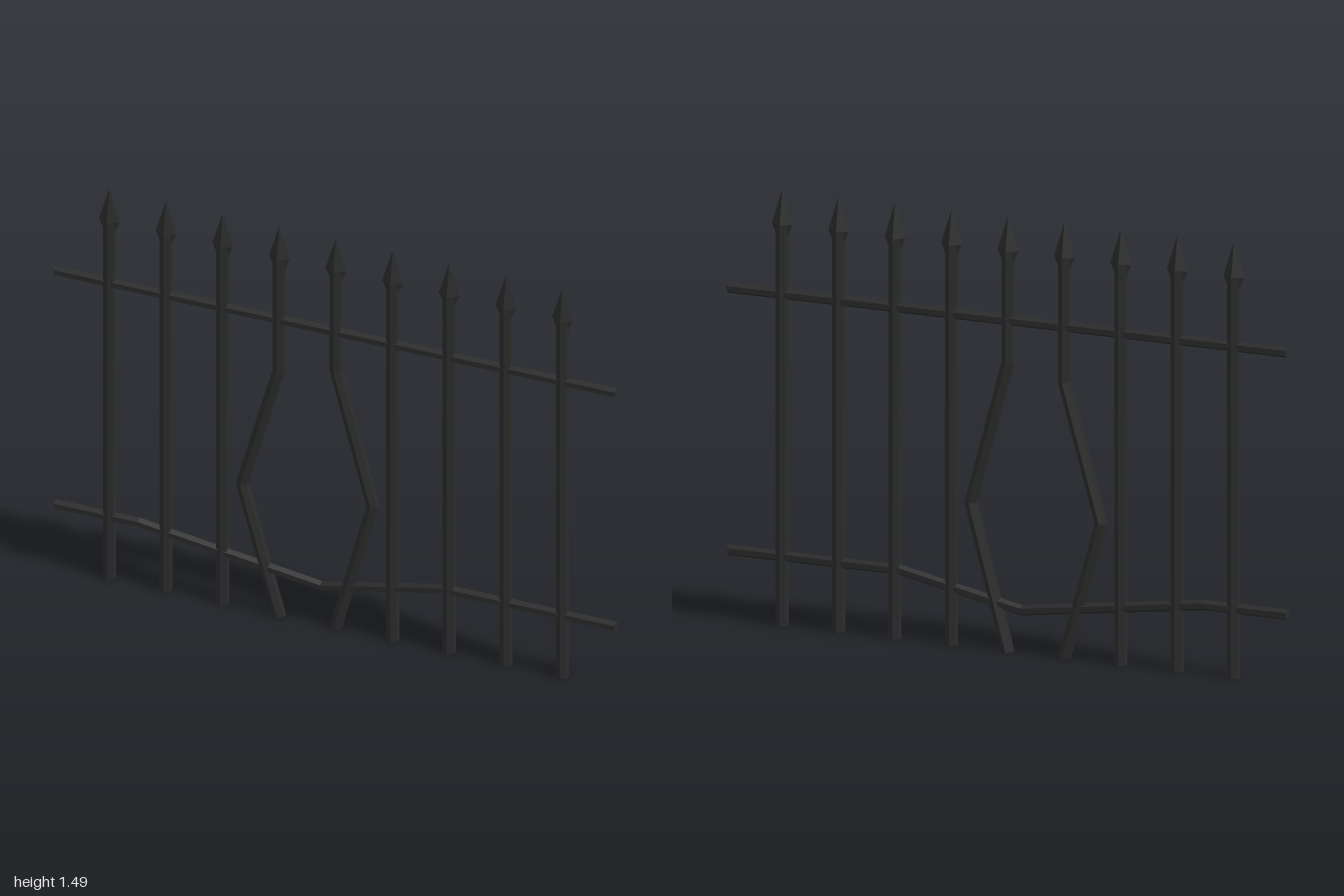
import * as THREE from 'three';

export function createModel() {
  const fence = new THREE.Group();
  fence.name = 'fence';
  const iron = new THREE.MeshStandardMaterial({ color: 0x2b2b2b, flatShading: true });
  iron.name = 'blackIron';

  function add(name, geometry) {
    const flat = geometry.toNonIndexed();
    flat.computeVertexNormals();
    const mesh = new THREE.Mesh(flat, iron);
    mesh.name = name;
    fence.add(mesh);
    return mesh;
  }

  // Hexagonal rod through [x, y] points; rows of a cylinder are moved onto the path.
  // Upright rods run bottom to top, rails run left to right.
  function rod(name, points, radius, isRail) {
    const rows = points.length - 1;
    const geo = new THREE.CylinderGeometry(radius, radius, rows, 6, rows);
    const pos = geo.attributes.position;
    for (let i = 0; i < pos.count; i++) {
      const [px, py] = points[Math.round(pos.getY(i) + rows / 2)];
      const a = pos.getX(i), b = pos.getZ(i);
      if (isRail) pos.setXYZ(i, px, py + b, a);
      else pos.setXYZ(i, px + a, py, b);
    }
    return add(name, geo);
  }

  // Flattened four-sided spear point
  function spear(x) {
    const parts = [
      ['spearPoint', new THREE.CylinderGeometry(0, 0.037, 0.12, 4), 1.425],
      ['spearNeck', new THREE.CylinderGeometry(0.037, 0.019, 0.04, 4), 1.345],
    ];
    for (const [name, geo, y] of parts) {
      geo.scale(1, 1, 0.6);
      geo.translate(x, y, 0);
      add(name, geo);
    }
  }

  // Nine pickets, the two around the gap bent outward
  const bends = {
    3: [[-0.132, 0.473], [0, 0.94]],
    4: [[0.132, 0.494], [0, 0.985]],
  };
  for (let i = 0; i < 9; i++) {
    const x = -0.808 + i * 0.202;
    const middle = (bends[i] || []).map(([dx, y]) => [x + dx, y]);
    rod(bends[i] ? 'bentPicket' : 'picket', [[x, 0], ...middle, [x, 1.365]], 0.022, false);
    spear(x);
  }

  // Straight upper rail and sagging lower rail
  rod('upperRail', [[-1, 1.128], [1, 1.128]], 0.018, true);
  rod('lowerRail', [[-1, 0.235], [-0.7, 0.235], [-0.05, 0.145], [0.385, 0.235], [1, 0.235]], 0.018, true);

  return fence;
}
